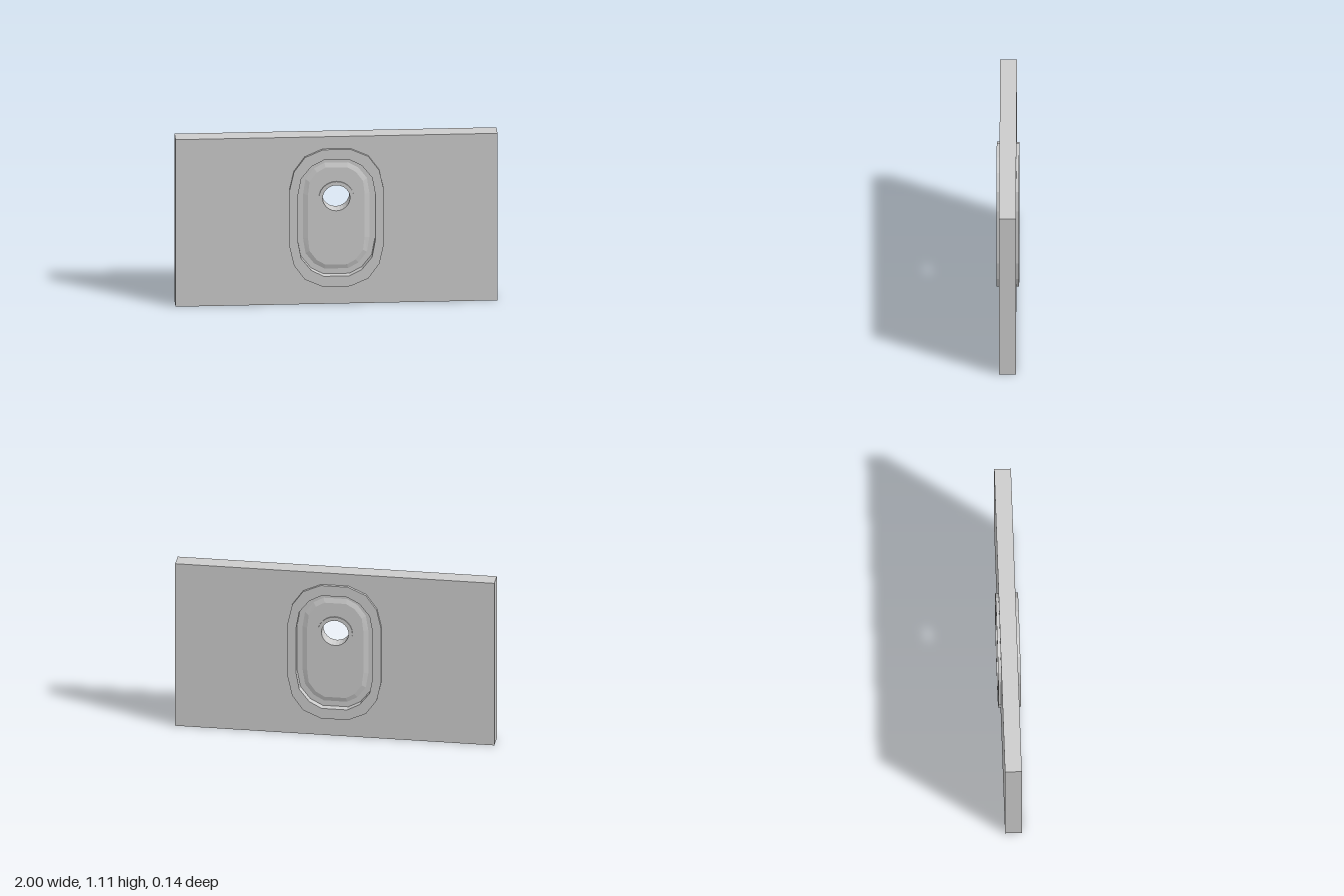
import * as THREE from 'three';

const HALF_Z = 0.052, HEIGHT = 1.11, MID_Y = 0.575, HOLE_Y = 0.697;
const material = new THREE.MeshStandardMaterial({ color: 0xcccccc, flatShading: true });
const angle = (i) => ((i + 0.5) / 16) * Math.PI * 2;

// Mirror one quadrant (measured from the outline's middle) into a 16-point loop.
function outline(quadrant) {
  const flip = (sx, sy) => quadrant.map(([x, y]) => new THREE.Vector2(sx * x, sy * y));
  const loop = [...flip(1, 1), ...flip(-1, 1).reverse(), ...flip(-1, -1), ...flip(1, -1).reverse()];
  loop.forEach((p) => { p.y += MID_Y; });
  return loop;
}

const inset = (loop, d) => loop.map((p, i) =>
  new THREE.Vector2(p.x - d * Math.cos(angle(i)), p.y - d * Math.sin(angle(i))));

// Skin successive [loop, z] cross-sections with quads.
function loft(sections) {
  const positions = [], index = [];
  sections.forEach(([loop, z]) => loop.forEach((p) => positions.push(p.x, p.y, z)));
  for (let s = 0; s < sections.length - 1; s++) {
    for (let i = 0; i < 16; i++) {
      const j = (i + 1) % 16;
      const a = s * 16 + i, b = s * 16 + j, c = b + 16, d = a + 16;
      index.push(a, b, c, a, c, d);
    }
  }
  const geometry = new THREE.BufferGeometry();
  geometry.setAttribute('position', new THREE.Float32BufferAttribute(positions, 3));
  geometry.setIndex(index);
  const flat = geometry.toNonIndexed();
  flat.computeVertexNormals();
  return flat;
}

function addMesh(parent, name, geometry) {
  const mesh = new THREE.Mesh(geometry, material);
  mesh.name = name;
  parent.add(mesh);
  return mesh;
}

export function createModel() {
  const model = new THREE.Group();
  model.name = 'plateWithRecess';

  const outer = outline([[0.293, 0.185], [0.265, 0.31], [0.197, 0.405], [0.085, 0.455]]);
  const inner = outline([[0.24, 0.155], [0.22, 0.265], [0.157, 0.345], [0.08, 0.386]]);
  const hole = outer.map((_, i) =>
    new THREE.Vector2(0.1 * Math.cos(angle(i)), HOLE_Y + 0.1 * Math.sin(angle(i))));

  // Rectangular plate, cut through behind the raised rim
  const shape = new THREE.Shape([[-1, 0], [1, 0], [1, HEIGHT], [-1, HEIGHT]].map(([x, y]) => new THREE.Vector2(x, y)));
  shape.holes.push(new THREE.Path(inset(outer, 0.02)));
  const plate = new THREE.ExtrudeGeometry(shape, { depth: HALF_Z * 2, bevelEnabled: false });
  plate.translate(0, 0, -HALF_Z);
  addMesh(model, 'plate', plate);

  // Raised rim and sunken panel with a pillowed middle, on both faces
  const rim = loft([[outer, 0.045], [outer, 0.07], [inner, 0.07], [inner, 0.024]]);
  const panel = loft([[inner, 0.024], [inset(inner, 0.035), 0.024], [inset(inner, 0.065), 0.034], [hole, 0.034]]);
  ['front', 'back'].forEach((side, k) => {
    const face = new THREE.Group();
    face.name = side + 'Recess';
    face.rotation.y = k * Math.PI;
    addMesh(face, side + 'Rim', rim);
    addMesh(face, side + 'Panel', panel);
    model.add(face);
  });

  // Collar lining the through hole
  const profile = [[0.085, -0.042], [0.109, -0.042], [0.109, 0.042], [0.085, 0.042], [0.085, -0.042]];
  const collar = new THREE.LatheGeometry(profile.map(([r, y]) => new THREE.Vector2(r, y)), 24);
  collar.rotateX(Math.PI / 2);
  addMesh(model, 'holeCollar', collar).position.y = HOLE_Y;

  return model;
}
